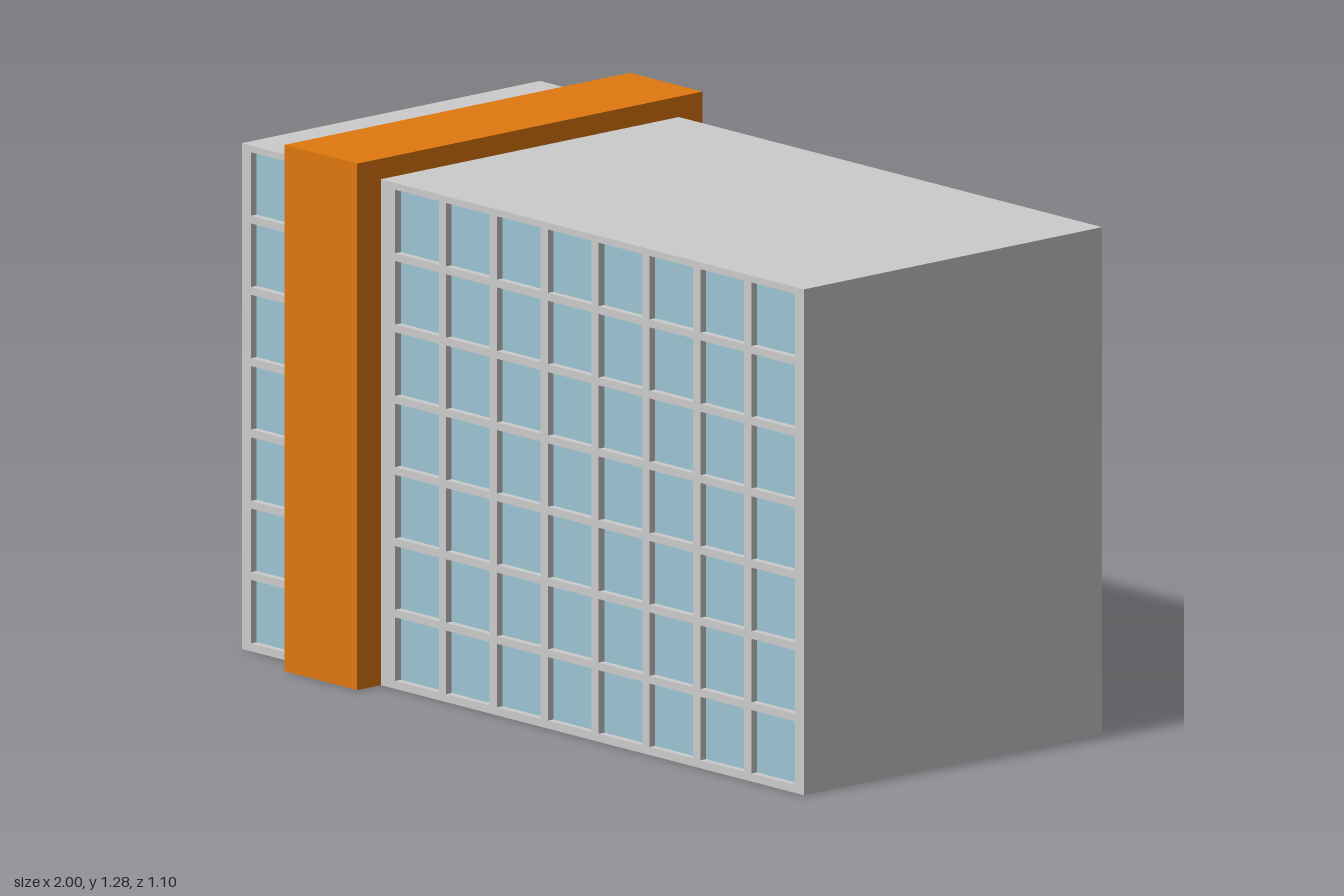
import * as THREE from 'three';

const W = 2, H = 1.235, D = 0.95;       // building size
const RECESS = 0.02, PANE = 0.155;      // window recess and pane size
const PITCH_X = 0.181, PITCH_Y = 0.174;

const wallMat = new THREE.MeshStandardMaterial({ color: 0xcccccc });
const bandMat = new THREE.MeshStandardMaterial({ color: 0xe0780f });
const glassMat = new THREE.MeshStandardMaterial({ color: 0x9cc4d4 });

// Window centres: one column beside the band, eight on the other side, seven rows
function windowCentres() {
  const xs = [-0.89];
  for (let i = 0; i < 8; i++) xs.push(0.89 - i * PITCH_X);
  const out = [];
  for (const x of xs) for (let r = 0; r < 7; r++) out.push([x, 0.097 + r * PITCH_Y]);
  return out;
}

// Closed polygon from a list of [x, y] corners
function polygon(points, Type = THREE.Shape) {
  return new Type(points.map(([x, y]) => new THREE.Vector2(x, y)));
}

function mesh(name, geometry, material) {
  const m = new THREE.Mesh(geometry, material);
  m.name = name;
  return m;
}

// Facade: pierced wall plate with glass set back in the openings
function facade(name, centres) {
  const g = new THREE.Group();
  g.name = name;
  const h = PANE / 2;
  const wall = polygon([[-W / 2, 0], [W / 2, 0], [W / 2, H], [-W / 2, H]]);
  for (const [x, y] of centres) {
    wall.holes.push(polygon([[x - h, y - h], [x - h, y + h], [x + h, y + h], [x + h, y - h]], THREE.Path));
  }
  const plate = mesh('windowGrid', new THREE.ExtrudeGeometry(wall, { depth: RECESS, bevelEnabled: false }), wallMat);
  plate.position.z = D / 2 - RECESS;
  g.add(plate);

  const paneGeo = new THREE.PlaneGeometry(PANE, PANE);
  for (const [x, y] of centres) {
    const pane = mesh('windowPane', paneGeo, glassMat);
    pane.position.set(x, y, D / 2 - RECESS + 0.002);
    g.add(pane);
  }
  return g;
}

export function createModel() {
  const model = new THREE.Group();
  model.name = 'officeBlock';

  // Solid core between the two facades
  const core = mesh('buildingCore', new THREE.BoxGeometry(W, H, D - 2 * RECESS), wallMat);
  core.position.y = H / 2;
  model.add(core);

  // Front facade, and the same layout mirrored in z for the back
  const centres = windowCentres();
  model.add(facade('frontFacade', centres));
  const back = facade('backFacade', centres.map(([x, y]) => [-x, y]));
  back.rotation.y = Math.PI;
  model.add(back);

  // Coloured band running up the front, over the roof and down the back
  const o = 0.55, i = D / 2, top = 1.285;
  const arch = polygon([[-o, 0], [-i, 0], [-i, H], [i, H], [i, 0], [o, 0], [o, top], [-o, top]]);
  const band = mesh('wrapBand', new THREE.ExtrudeGeometry(arch, { depth: 0.258, bevelEnabled: false }), bandMat);
  band.rotation.y = Math.PI / 2;
  band.position.x = -0.764;
  model.add(band);

  return model;
}
